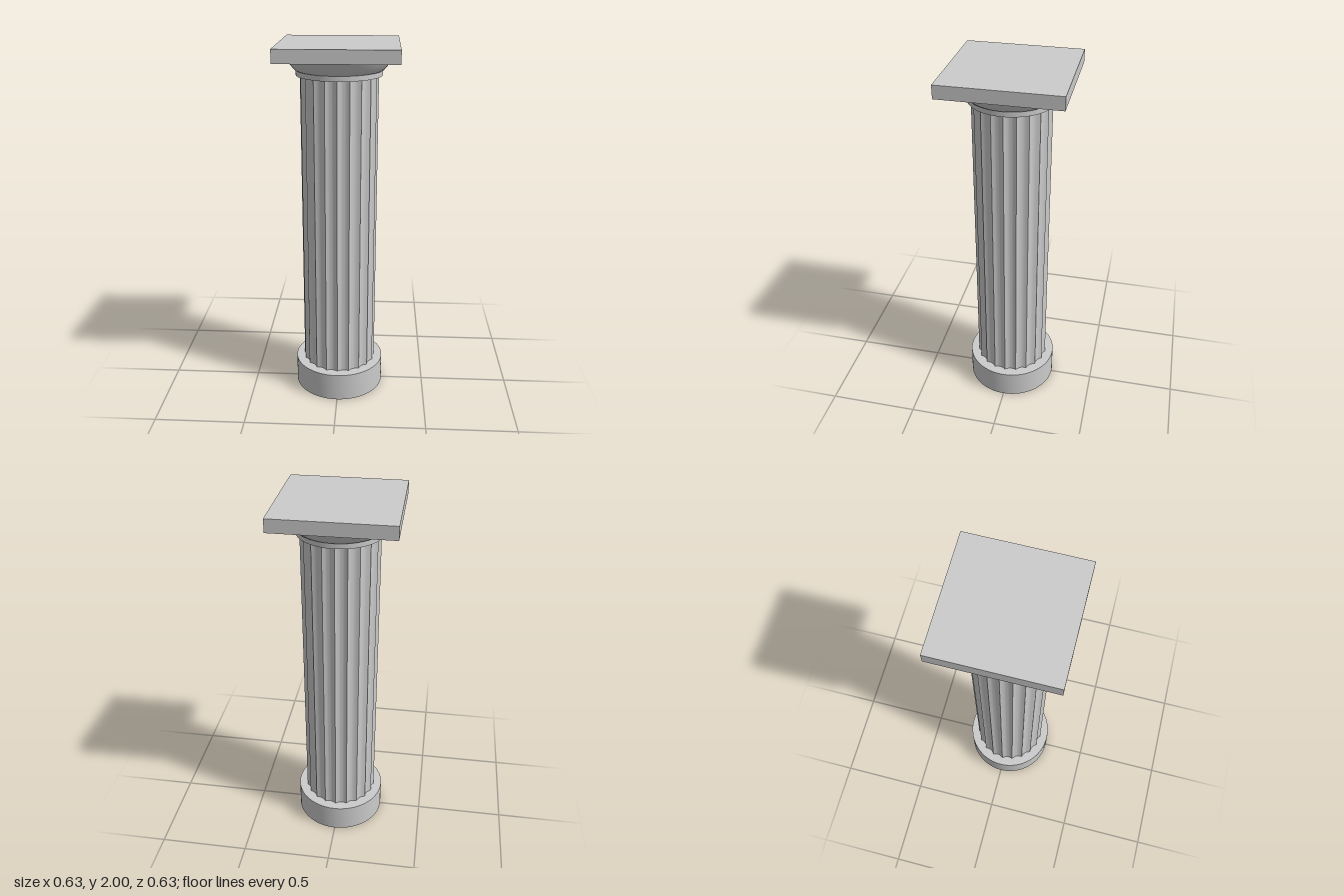
import * as THREE from 'three';
import { toCreasedNormals } from 'three/addons/utils/BufferGeometryUtils.js';

const FLUTES = 20, SHAFT_R = 0.208, FLUTE_DEPTH = 0.011;
const BASE_TOP = 0.16, NECK = 1.833, ABACUS_BOTTOM = 1.93;

export function createModel() {
  const model = new THREE.Group();
  model.name = 'column';
  const stone = new THREE.MeshStandardMaterial({ color: 0xcccccc, side: THREE.DoubleSide });

  const add = (name, geometry, y = 0) => {
    const mesh = new THREE.Mesh(geometry, stone);
    mesh.name = name;
    mesh.position.y = y;
    model.add(mesh);
  };
  const lathe = (profile) => toCreasedNormals(
    new THREE.LatheGeometry(profile.map(([r, y]) => new THREE.Vector2(r, y)), 64), 0.45);

  // Round base: thin drum, open underneath, closed on top
  add('base', lathe([[0.254, 0], [0.254, BASE_TOP], [0, BASE_TOP]]));

  // Shaft: shallow concave flutes meeting in sharp ridges
  const outline = [];
  const steps = 8, half = Math.PI / FLUTES;
  for (let i = 0; i < FLUTES; i++) {
    for (let j = 0; j < steps; j++) {
      const t = j / steps, a = (i + t) * 2 * half;
      // straight chord between ridges, then hollowed out
      const chord = SHAFT_R * Math.cos(half) / Math.cos((2 * t - 1) * half);
      const r = chord - FLUTE_DEPTH * 4 * t * (1 - t);
      outline.push(new THREE.Vector2(r * Math.cos(a), r * Math.sin(a)));
    }
  }
  const shaft = new THREE.ExtrudeGeometry(new THREE.Shape(outline), {
    depth: NECK - BASE_TOP, bevelEnabled: false,
  });
  shaft.rotateX(-Math.PI / 2);
  add('flutedShaft', toCreasedNormals(shaft, 0.5), BASE_TOP);

  // Capital: neck ring and flaring cushion
  add('capital', lathe([
    [0, NECK], [0.228, NECK], [0.228, 1.86], [0.236, 1.864], [0.25, 1.88],
    [0.262, 1.896], [0.272, 1.912], [0.283, ABACUS_BOTTOM],
  ]));

  // Square slab on top
  const slabHeight = 2 - ABACUS_BOTTOM;
  add('abacus', new THREE.BoxGeometry(0.626, slabHeight, 0.626), ABACUS_BOTTOM + slabHeight / 2);

  return model;
}
